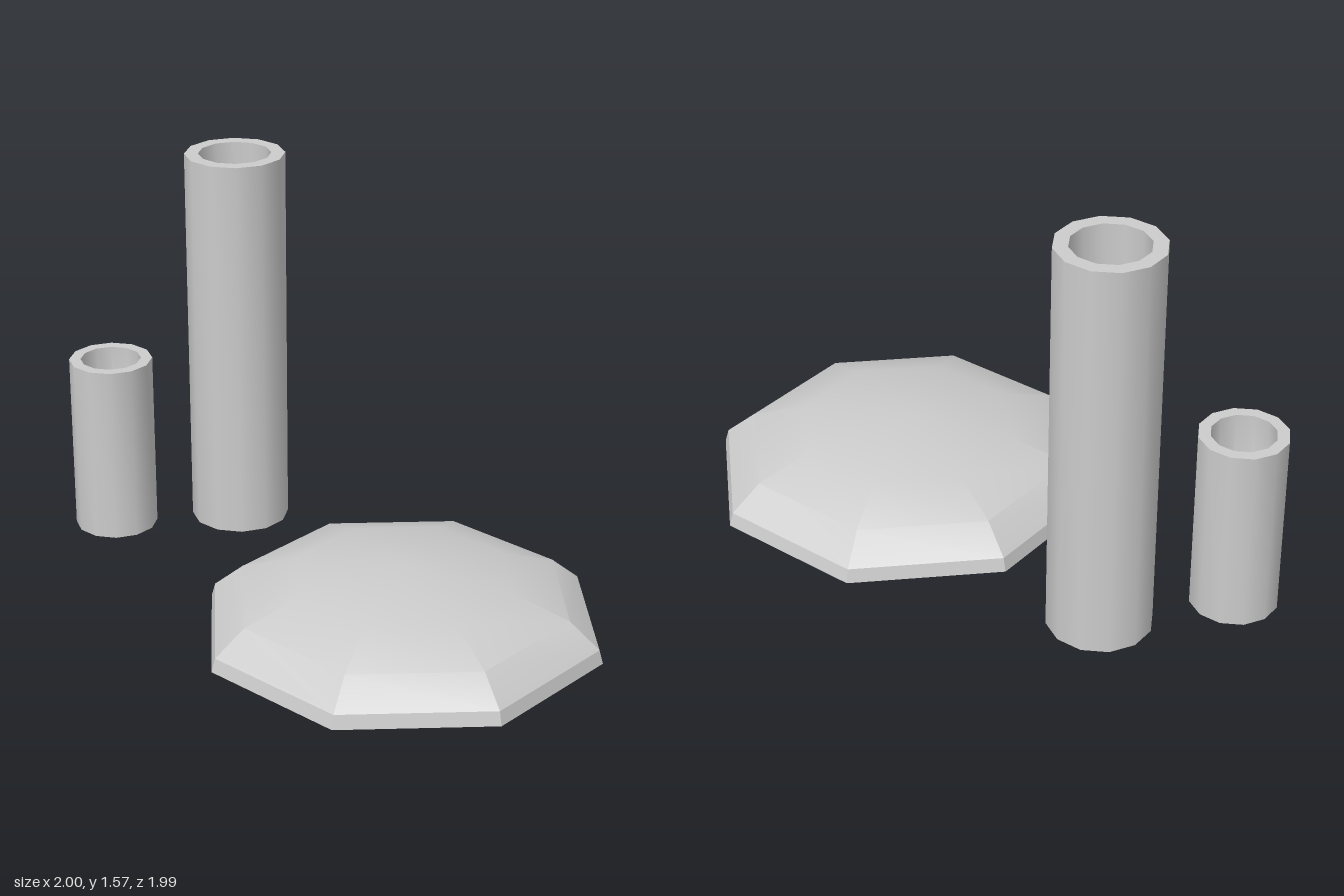
import * as THREE from 'three';
import { toCreasedNormals } from 'three/addons/utils/BufferGeometryUtils.js';

const material = new THREE.MeshStandardMaterial({ color: 0xcccccc, side: THREE.DoubleSide });

// Revolved part with few sides; edges sharper than the crease angle stay hard
function lathe(name, profile, sides, crease, phiStart = 0) {
  const points = profile.map(([r, y]) => new THREE.Vector2(r, y));
  const geometry = new THREE.LatheGeometry(points, sides, phiStart);
  const mesh = new THREE.Mesh(toCreasedNormals(geometry, crease), material);
  mesh.name = name;
  return mesh;
}

// Upright hollow column: open base, thick rim, recessed floor
function column(name, x, z, radius, bore, height, depth, bowl) {
  const floor = height - depth;
  const mesh = lathe(name, [
    [radius, 0], [radius, height],
    [bore, height], [bore, floor],
    [bore * 0.75, floor - bowl * 0.6], [bore * 0.4, floor - bowl * 0.9], [0, floor - bowl],
  ], 12, 0.7);
  mesh.position.set(x, 0, z);
  return mesh;
}

export function createModel() {
  const group = new THREE.Group();
  group.name = 'columnsAndDome';

  // Shallow eight-sided dome, a flattened hemisphere open underneath
  const radius = 0.785, height = 0.275;
  const profile = [0, 11.25, 33.75, 56.25, 90].map((deg) => {
    const a = THREE.MathUtils.degToRad(deg);
    return [deg === 90 ? 0 : radius * Math.cos(a), height * Math.sin(a)];
  });
  const dome = lathe('dome', profile, 8, 0.5, THREE.MathUtils.degToRad(21.4));
  dome.position.set(0.27, 0, 0.265);
  group.add(dome);

  // Tall column has a flat floor, short column a rounded one
  group.add(column('tallColumn', -0.315, -0.795, 0.2, 0.145, 1.57, 0.6, 0));
  group.add(column('shortColumn', -0.832, -0.74, 0.168, 0.122, 0.73, 0.3, 0.09));

  return group;
}
